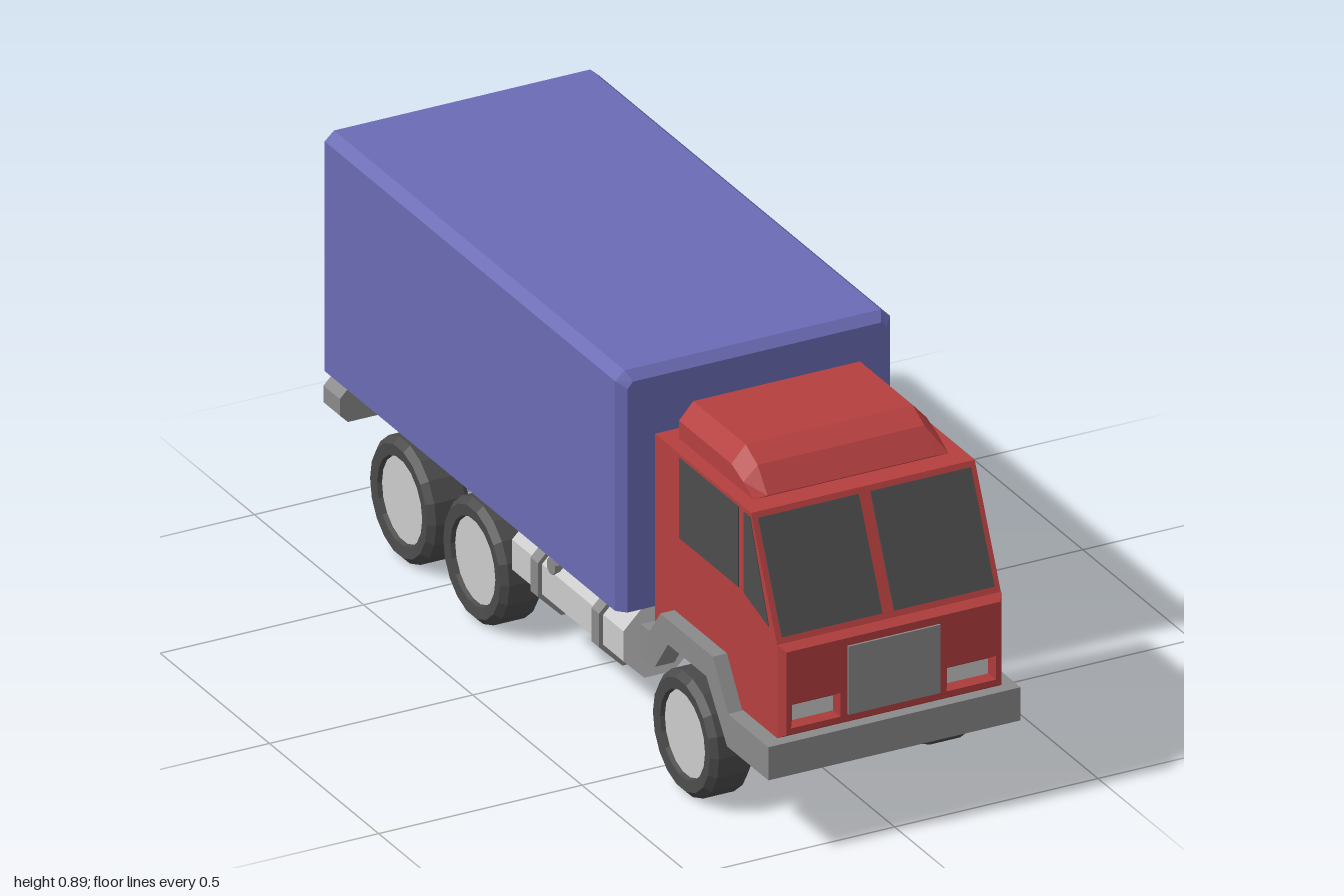
import * as THREE from 'three';

const mat = (color) => new THREE.MeshStandardMaterial({ color, flatShading: true });

export function createModel() {
  const truck = new THREE.Group();
  truck.name = 'boxTruck';
  const grey = mat(0xcccccc), mid = mat(0x8a8a8a), tyre = mat(0x4a4a4a);
  const red = mat(0xb53f3f), blue = mat(0x6b6bb5), glass = mat(0x4c4c4c);

  const add = (name, geo, material, x = 0, y = 0, z = 0) => {
    const mesh = new THREE.Mesh(geo, material);
    mesh.name = name;
    mesh.position.set(x, y, z);
    truck.add(mesh);
    return mesh;
  };
  const box = (name, w, h, d, material, x, y, z) =>
    add(name, new THREE.BoxGeometry(w, h, d), material, x, y, z);
  const shapeOf = (pts) => new THREE.Shape(pts.map(([a, b]) => new THREE.Vector2(a, b)));

  // side profile of [z, y] points, extruded from x0 to x1
  const sideProfile = (name, pts, x0, x1, material) => {
    const geo = new THREE.ExtrudeGeometry(shapeOf(pts), { depth: x1 - x0, bevelEnabled: false });
    geo.rotateY(-Math.PI / 2);
    geo.translate(x1, 0, 0);
    return add(name, geo, material);
  };
  // the same profile on both sides, x0 < x1 measured from the middle
  const sidePair = (name, pts, x0, x1, material) => {
    sideProfile(name + 'Left', pts, x0, x1, material);
    sideProfile(name + 'Right', pts, -x1, -x0, material);
  };

  // skin over rings of equal point count, ordered front to back, with end caps
  const loft = (rings) => {
    const pos = [];
    const tri = (...p) => p.forEach((v) => pos.push(...v));
    const n = rings[0].length;
    for (let r = 0; r < rings.length - 1; r++) {
      for (let i = 0; i < n; i++) {
        const j = (i + 1) % n, a = rings[r], b = rings[r + 1];
        tri(a[i], b[i], b[j]);
        tri(a[i], b[j], a[j]);
      }
    }
    const first = rings[0], last = rings[rings.length - 1];
    for (let i = 1; i < n - 1; i++) {
      tri(first[0], first[i], first[i + 1]);
      tri(last[0], last[i + 1], last[i]);
    }
    const geo = new THREE.BufferGeometry();
    geo.setAttribute('position', new THREE.Float32BufferAttribute(pos, 3));
    geo.computeVertexNormals();
    return geo;
  };
  // six-point ring with clipped upper corners
  const ring = (z, w, bottom, shoulder, wTop, top) => [
    [-w, bottom, z], [w, bottom, z], [w, shoulder, z],
    [wTop, top, z], [-wTop, top, z], [-w, shoulder, z],
  ];

  // cargo box with chamfered edges and a recessed rear door
  add('cargoBox', loft([
    ring(0.37, 0.318, 0.32, 0.86, 0.305, 0.875),
    ring(0.35, 0.338, 0.32, 0.875, 0.315, 0.896),
    ring(-0.98, 0.338, 0.32, 0.875, 0.315, 0.896),
    ring(-1.0, 0.318, 0.325, 0.86, 0.305, 0.875),
    ring(-1.0, 0.3, 0.345, 0.855, 0.299, 0.856),
    ring(-0.985, 0.3, 0.345, 0.855, 0.299, 0.856),
  ]), blue);

  // cab body with wheel arch
  sideProfile('cabBody', [
    [0.975, 0.27], [0.975, 0.495], [0.855, 0.762], [0.415, 0.762], [0.415, 0.3],
    [0.46, 0.3], [0.505, 0.365], [0.745, 0.365], [0.81, 0.27],
  ], -0.275, 0.275, red);

  // bevelled nose panel with headlight recesses
  const nose = shapeOf([[-0.263, 0.283], [0.263, 0.283], [0.263, 0.483], [-0.263, 0.483]]);
  for (const s of [-1, 1]) {
    nose.holes.push(new THREE.Path([[0.13, 0.297], [0.13, 0.355], [0.252, 0.355], [0.252, 0.297]]
      .map(([x, y]) => new THREE.Vector2(s * x, y))));
    box('headlight', 0.104, 0.038, 0.012, grey, s * 0.191, 0.326, 0.973);
  }
  add('nosePanel', new THREE.ExtrudeGeometry(nose, {
    depth: 0.002, bevelSize: 0.012, bevelThickness: 0.018, bevelSegments: 1,
  }), red, 0, 0, 0.975);
  box('grille', 0.226, 0.165, 0.02, mid, 0, 0.382, 0.99);

  // windows
  for (const s of [-1, 1]) {
    const pane = box('windshieldPane', 0.247, 0.265, 0.006, glass, s * 0.138, 0.629, 0.915);
    pane.rotation.x = -Math.atan2(0.12, 0.267);
  }
  sidePair('doorWindow', [[0.8, 0.56], [0.8, 0.754], [0.53, 0.754], [0.53, 0.56]], 0.27, 0.277, glass);
  sidePair('quarterWindow', [[0.938, 0.524], [0.852, 0.752], [0.825, 0.752], [0.825, 0.557]], 0.27, 0.277, glass);

  // roof air deflector
  add('roofDeflector', loft([
    ring(0.8, 0.24, 0.755, 0.762, 0.205, 0.764),
    ring(0.755, 0.24, 0.755, 0.785, 0.205, 0.818),
    ring(0.7, 0.24, 0.755, 0.805, 0.205, 0.844),
    ring(0.46, 0.24, 0.755, 0.805, 0.205, 0.844),
  ]), red);

  // front bumper and the fenders that continue it
  box('frontBumper', 0.62, 0.08, 0.045, mid, 0, 0.227, 0.977);
  sidePair('fender', [
    [0.995, 0.187], [0.995, 0.267], [0.815, 0.267], [0.745, 0.375], [0.505, 0.375], [0.455, 0.31],
    [0.415, 0.31], [0.415, 0.235], [0.48, 0.235], [0.54, 0.315], [0.715, 0.315], [0.81, 0.187],
  ], 0.262, 0.31, mid);

  // chassis rails, deep in the middle and rising to the tail
  sidePair('chassisRail', [
    [0.47, 0.32], [-0.92, 0.32], [-0.92, 0.235], [-0.76, 0.235], [-0.64, 0.165],
    [0.2, 0.165], [0.36, 0.235], [0.47, 0.235],
  ], 0.07, 0.138, grey);

  // rear bumper with tail lights
  const rear = shapeOf([
    [-0.33, 0.235], [0.33, 0.235], [0.35, 0.255], [0.35, 0.295],
    [0.33, 0.315], [-0.33, 0.315], [-0.35, 0.295], [-0.35, 0.255],
  ]);
  add('rearBumper', new THREE.ExtrudeGeometry(rear, { depth: 0.075, bevelEnabled: false }), mid, 0, 0, -0.963);
  for (const s of [-1, 1]) box('tailLight', 0.17, 0.04, 0.01, red, s * 0.235, 0.275, -0.962);

  // side tanks with straps and filler cap
  const tube = (name, r, length, sides, material, x, y, z) => {
    const geo = new THREE.CylinderGeometry(r, r, length, sides);
    geo.rotateY(Math.PI / sides);
    geo.rotateX(Math.PI / 2);
    return add(name, geo, material, x, y, z);
  };
  for (const s of [-1, 1]) {
    tube('sideTank', 0.095, 0.51, 8, grey, s * 0.235, 0.235, 0.105);
    for (const z of [0.25, -0.03]) tube('tankStrap', 0.106, 0.034, 8, mid, s * 0.235, 0.235, z);
    const cap = tube('fillerCap', 0.02, 0.03, 8, mid, s * 0.312, 0.288, 0.035);
    cap.rotation.set(0, Math.PI / 2, s * Math.PI / 4);
  }

  // axles and wheels
  const tyreGeo = new THREE.LatheGeometry([
    [0.098, -0.035], [0.103, -0.05], [0.13, -0.053], [0.145, -0.038],
    [0.145, 0.038], [0.13, 0.053], [0.103, 0.05], [0.098, 0.035],
  ].map(([r, y]) => new THREE.Vector2(r, y)), 18);
  tyreGeo.rotateZ(Math.PI / 2);
  const hubGeo = new THREE.CylinderGeometry(0.1, 0.1, 0.08, 18);
  hubGeo.rotateZ(Math.PI / 2);
  const axleGeo = new THREE.CylinderGeometry(0.022, 0.022, 0.5, 8);
  axleGeo.rotateZ(Math.PI / 2);
  for (const z of [0.64, -0.32, -0.655]) {
    add('axle', axleGeo, grey, 0, 0.152, z);
    for (const s of [-1, 1]) {
      add('tyre', tyreGeo, tyre, s * 0.278, 0.145, z);
      add('hub', hubGeo, grey, s * 0.278, 0.145, z);
    }
  }
  return truck;
}
